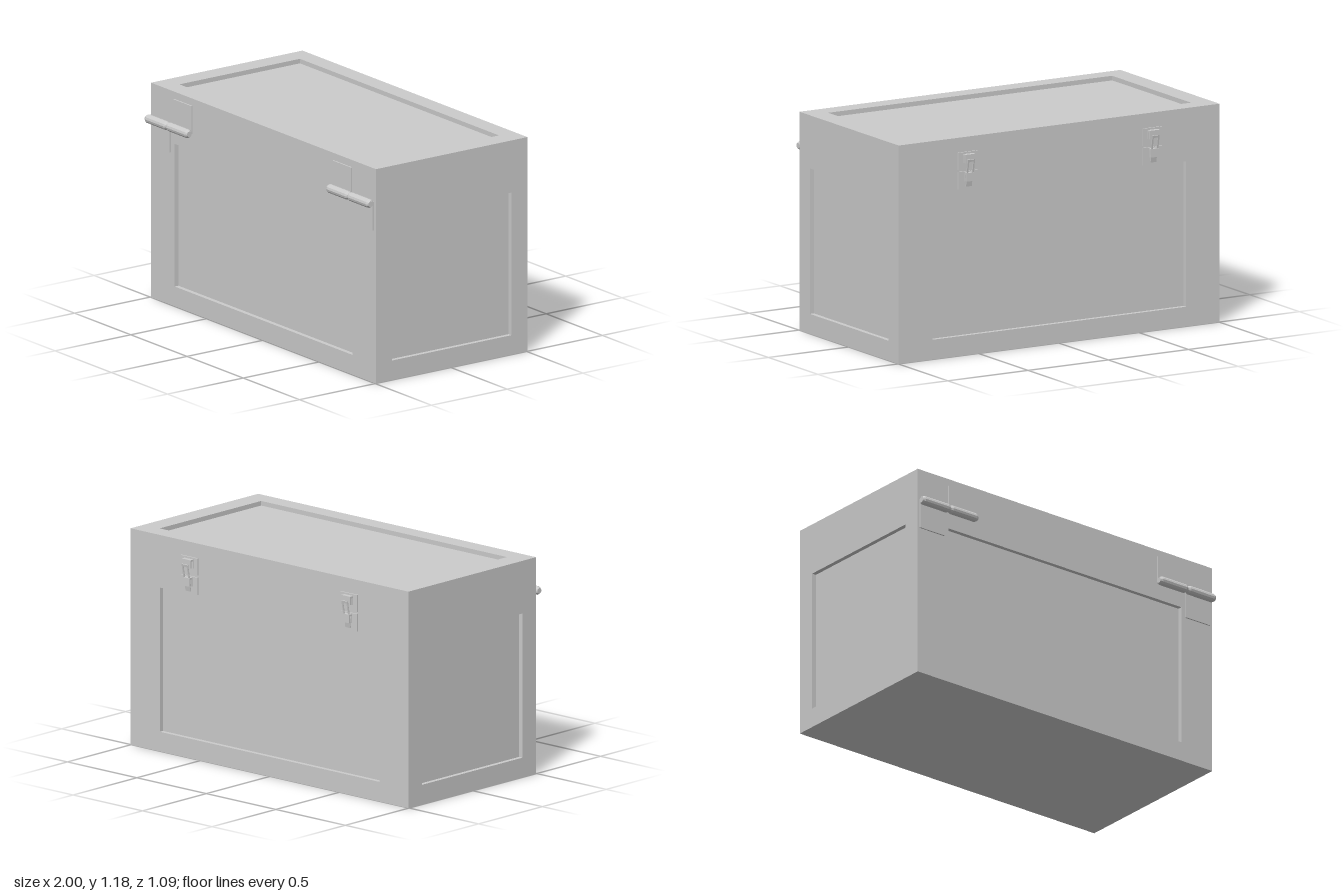
import * as THREE from 'three';

const mat = new THREE.MeshStandardMaterial({ color: 0xcccccc });
const flat = new THREE.MeshStandardMaterial({ color: 0xcccccc, flatShading: true });

const CZ = -0.005;            // depth centre of the body
const W = 2, H = 1.185, D = 1; // body size
const RECESS = 0.025;          // depth of the sunken panels

function add(parent, name, geometry, x = 0, y = 0, z = 0, material = mat) {
  const mesh = new THREE.Mesh(geometry, material);
  mesh.name = name;
  mesh.position.set(x, y, z);
  parent.add(mesh);
  return mesh;
}

// box given by its limits
function block(parent, name, x0, x1, y0, y1, z0, z1) {
  return add(parent, name, new THREE.BoxGeometry(x1 - x0, y1 - y0, z1 - z0),
    (x0 + x1) / 2, (y0 + y1) / 2, (z0 + z1) / 2);
}

// rectangular frame with a rectangular hole, both centred, lying in the xy plane
function frameGeometry(w, h, holeW, holeH, depth) {
  const rect = (path, a, b) => path.moveTo(-a, -b).lineTo(a, -b).lineTo(a, b).lineTo(-a, b).closePath();
  const shape = rect(new THREE.Shape(), w / 2, h / 2);
  shape.holes.push(rect(new THREE.Path(), holeW / 2, holeH / 2));
  return new THREE.ExtrudeGeometry(shape, { depth, bevelEnabled: false });
}

function makeBody() {
  const body = new THREE.Group();
  body.name = 'body';
  body.position.z = CZ;

  // core whose faces form the sunken panels
  add(body, 'panelCore', new THREE.BoxGeometry(W - 2 * RECESS, H - RECESS, D - 2 * RECESS), 0, (H - RECESS) / 2, 0);

  // the hole of each wall runs from 0.108 to 0.897 in height
  const holeH = 0.789;
  const wall = (name, w, holeW, angle, reach) => {
    const geo = frameGeometry(w, H, holeW, holeH, RECESS);
    // outer rectangle is centred on the body, hole is moved down to its place
    const pos = geo.attributes.position;
    for (let i = 0; i < pos.count; i++) {
      if (Math.abs(pos.getY(i)) < H / 2 - 0.01) pos.setY(i, pos.getY(i) + 0.5025 - H / 2);
    }
    geo.translate(0, H / 2, reach - RECESS);
    geo.rotateY(angle);
    add(body, name, geo);
  };
  wall('frontFrame', W, 1.58, 0, D / 2);
  wall('backFrame', W, 1.58, Math.PI, D / 2);
  wall('leftFrame', D, 0.79, Math.PI / 2, W / 2);
  wall('rightFrame', D, 0.79, -Math.PI / 2, W / 2);

  const top = frameGeometry(W, D, 1.77, 0.795, RECESS);
  top.rotateX(-Math.PI / 2);
  add(body, 'topFrame', top, 0, H - RECESS, 0);
  return body;
}

// hinge with offset leaves, s = side of the body
function makeHinge(s) {
  const hinge = new THREE.Group();
  hinge.name = s > 0 ? 'leftHinge' : 'rightHinge';
  hinge.position.x = -0.003;
  const leaf = (name, a, b, y0, y1) =>
    block(hinge, name, Math.min(s * a, s * b), Math.max(s * a, s * b), y0, y1, 0.49, 0.503);
  leaf('upperLeaf', 0.627, 0.79, 0.99, 1.145);
  leaf('lowerLeaf', 0.82, 0.985, 0.843, 1.0);

  // barrel: two rounded knuckles meeting at a narrow neck
  const half = 0.1885, r = 0.024;
  const profile = [
    [0, -half], [0.016, -half], [r, -half + 0.014], [r, -0.014], [0.018, -0.004],
    [0.018, 0.004], [r, 0.014], [r, half - 0.014], [0.016, half], [0, half],
  ].map(([x, y]) => new THREE.Vector2(x, y));
  const barrel = add(hinge, 'barrel', new THREE.LatheGeometry(profile, 12), s * 0.8065, 0.995, 0.523, flat);
  barrel.rotation.z = Math.PI / 2;
  return hinge;
}

// toggle latch on the back
function makeLatch(s) {
  const latch = new THREE.Group();
  latch.name = s > 0 ? 'leftLatch' : 'rightLatch';
  latch.position.x = s * 0.575 - 0.003;
  block(latch, 'upperPlate', -0.06, 0.06, 1.012, 1.105, -0.513, -0.5);
  block(latch, 'lowerPlate', -0.06, 0.06, 0.905, 1.0, -0.513, -0.5);

  // catch hooks: an arm standing out with a lip turned down
  for (const [name, y, w] of [['upperHook', 1.095, 0.032], ['lowerHook', 0.995, 0.024]]) {
    block(latch, name + 'Arm', -w, w, y - 0.01, y, -0.537, -0.508);
    block(latch, name + 'Lip', -w, w, y - 0.046, y, -0.537, -0.528);
    block(latch, name + 'Foot', -w, w, y - 0.048, y, -0.518, -0.508);
  }

  // tilted pull loop with a grip at its lower end
  const lever = new THREE.Group();
  lever.name = 'lever';
  lever.position.set(0, 0.995, -0.532);
  lever.rotation.x = -0.18;
  latch.add(lever);
  add(lever, 'loop', frameGeometry(0.044, 0.12, 0.026, 0.095, 0.005), 0, 0.015, -0.0025);
  add(lever, 'grip', new THREE.BoxGeometry(0.036, 0.035, 0.005), 0, -0.06, 0);
  return latch;
}

export function createModel() {
  const model = new THREE.Group();
  model.name = 'chest';
  model.add(makeBody());
  for (const s of [-1, 1]) model.add(makeHinge(s), makeLatch(s));
  return model;
}
